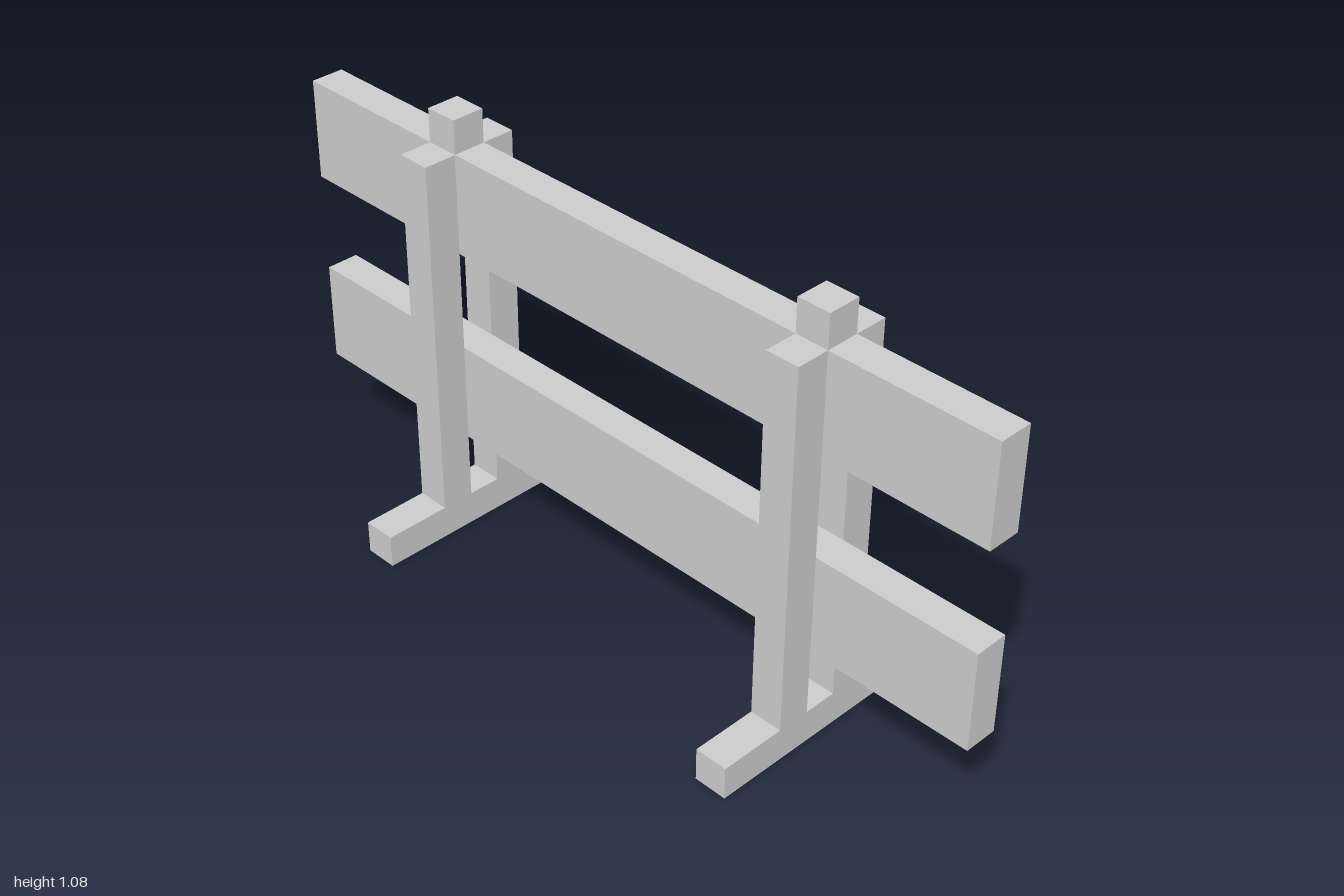
import * as THREE from 'three';

const T = 1 / 12; // timber thickness
const material = new THREE.MeshStandardMaterial({ color: 0xcccccc, flatShading: true });

// Box resting on height y0
function beam(name, w, h, d, x, y0, z) {
  const mesh = new THREE.Mesh(new THREE.BoxGeometry(w, h, d), material);
  mesh.name = name;
  mesh.position.set(x, y0 + h / 2, z);
  return mesh;
}

export function createModel() {
  const model = new THREE.Group();
  model.name = 'barrier';

  // Horizontal planks clamped between the posts
  model.add(beam('lowerRail', 2, 0.25, T, 0, 0.25, 0));
  model.add(beam('upperRail', 2, 0.25, T, 0, 0.75, 0));

  // Two trestles: foot, pair of posts, and a block on top of the rail
  for (const [side, s] of [['left', 1], ['right', -1]]) {
    const stand = new THREE.Group();
    stand.name = side + 'Stand';
    stand.position.x = s * (0.5 + T / 2);
    stand.add(beam('foot', T, T, 7 * T, 0, 0, 0));
    stand.add(beam('frontPost', T, 1 - T, T, 0, T, T));
    stand.add(beam('backPost', T, 1 - T, T, 0, T, -T));
    stand.add(beam('topBlock', T, T, T, 0, 1, 0));
    model.add(stand);
  }
  return model;
}
